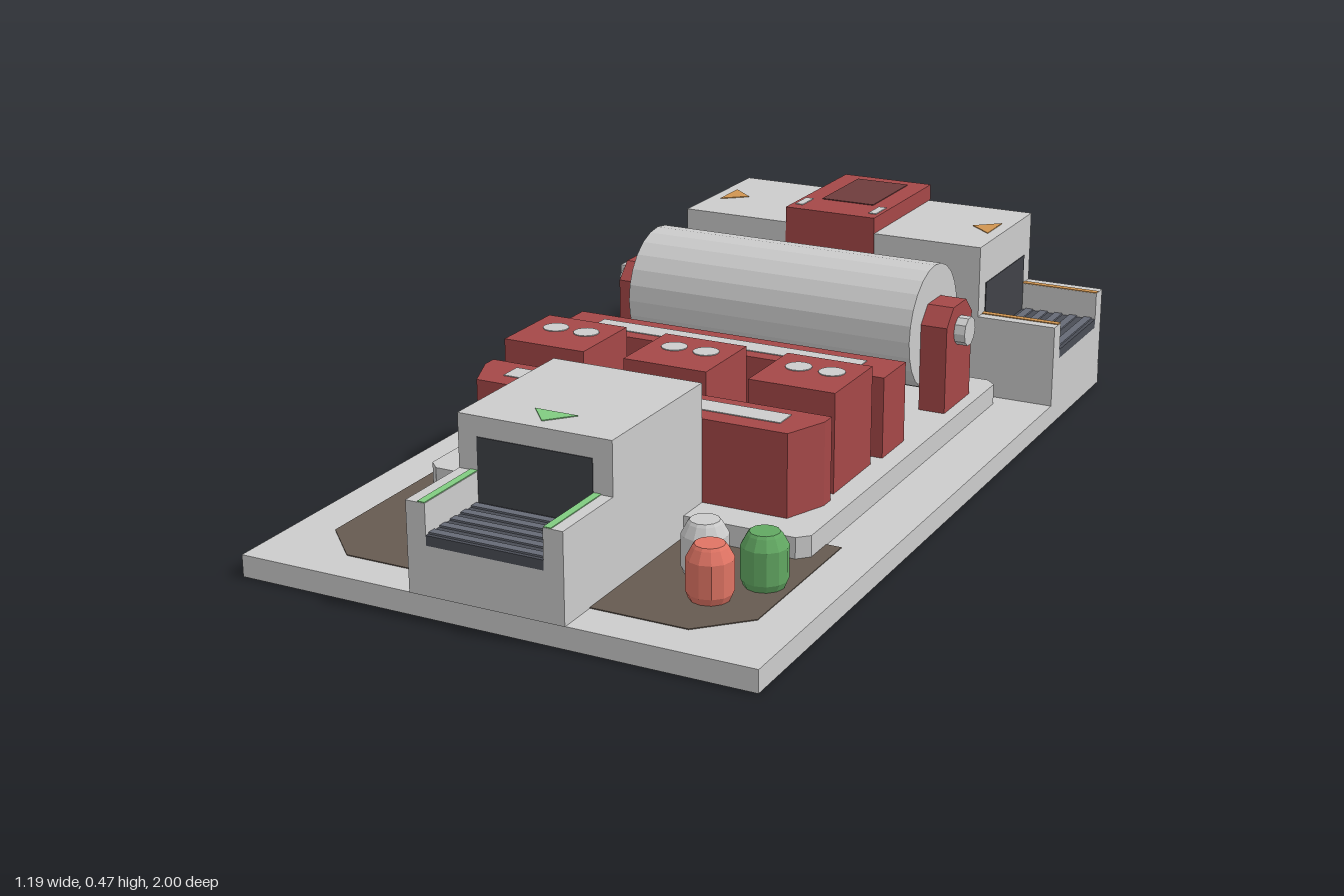
import * as THREE from 'three';

const mat = (color) => new THREE.MeshStandardMaterial({ color, flatShading: true, side: THREE.DoubleSide });
const GREY = mat(0xcccccc), RED = mat(0xa54848), DARKRED = mat(0x6e3c3c), BELT = mat(0x4a4d56), SLAT = mat(0x666a76),
  HOLE = mat(0x404248), SOIL = mat(0x665a50), GREEN = mat(0x80cc80), ORANGE = mat(0xd09550),
  CANRED = mat(0xe07464), CANGREEN = mat(0x62a862);

function add(parent, name, geo, material, x = 0, y = 0, z = 0) {
  const m = new THREE.Mesh(geo, material);
  m.name = name;
  m.position.set(x, y, z);
  parent.add(m);
  return m;
}

// Box given by its limits on each axis
function box(parent, name, material, [x0, x1], [y0, y1], [z0, z1]) {
  return add(parent, name, new THREE.BoxGeometry(x1 - x0, y1 - y0, z1 - z0), material,
    (x0 + x1) / 2, (y0 + y1) / 2, (z0 + z1) / 2);
}

// Plan outline of [x, z] points raised from y0 to y1
function slab(parent, name, material, pts, y0, y1) {
  const shape = new THREE.Shape(pts.map(([x, z]) => new THREE.Vector2(x, -z)));
  const geo = new THREE.ExtrudeGeometry(shape, { depth: y1 - y0, bevelEnabled: false });
  geo.rotateX(-Math.PI / 2);
  return add(parent, name, geo, material, 0, y0, 0);
}

// Conveyor mouth running out along +z from a wall at z = 0
function conveyor(name, accent) {
  const g = new THREE.Group();
  g.name = name;
  const L = 0.197;
  box(g, 'conveyorBed', GREY, [-0.135, 0.135], [0.05, 0.16], [0, L]);
  box(g, 'belt', BELT, [-0.135, 0.135], [0.16, 0.182], [0, L]);
  for (let i = 0; i < 5; i++) {
    const z = 0.012 + i * 0.039;
    box(g, 'beltSlat', SLAT, [-0.134, 0.134], [0.18, 0.186], [z, z + 0.02]);
  }
  box(g, 'opening', HOLE, [-0.135, 0.135], [0.18, 0.325], [-0.01, 0.002]);
  for (const s of [-1, 1]) {
    const wall = box(g, 'sideWall', GREY, [0.135, 0.18], [0.05, 0.25], [0, L]);
    const strip = box(g, 'accentStrip', accent, [0.136, 0.153], [0.245, 0.252], [0, L - 0.001]);
    wall.position.x *= s;
    strip.position.x *= s;
  }
  return g;
}

// Barrel with tapered rims
function can(parent, material, x, z) {
  const pts = [[0, 0], [0.042, 0], [0.05, 0.018], [0.05, 0.09], [0.037, 0.114], [0.032, 0.12], [0, 0.12]]
    .map(([r, y]) => new THREE.Vector2(r, y));
  add(parent, 'canister', new THREE.LatheGeometry(pts, 12), material, x, 0.05, z);
}

export function createModel() {
  const g = new THREE.Group();
  g.name = 'factoryMachine';

  // Ground slab, dark ground patch and raised machine bed
  box(g, 'base', GREY, [-0.597, 0.597], [0, 0.05], [-0.995, 0.995]);
  slab(g, 'groundPatch', SOIL,
    [[-0.5, 0.4], [0.5, 0.4], [0.5, 0.8], [0.4, 0.9], [-0.4, 0.9], [-0.5, 0.8]], 0.045, 0.052);
  const c = 0.025;
  slab(g, 'machineBed', GREY, [[-0.465 + c, -0.61], [0.465 - c, -0.61], [0.465, -0.61 + c], [0.465, 0.5 - c],
    [0.465 - c, 0.5], [-0.465 + c, 0.5], [-0.465, 0.5 - c], [-0.465, -0.61 + c]], 0.05, 0.1);

  // Roller drum with its brackets and axle ends
  const drum = new THREE.CylinderGeometry(0.15, 0.15, 0.74, 24);
  drum.rotateZ(Math.PI / 2);
  add(g, 'drum', drum, GREY, 0, 0.285, -0.415);
  const bracket = new THREE.Shape([[-0.08, 0.1], [0.08, 0.1], [0.08, 0.31], [0.04, 0.35], [-0.04, 0.35], [-0.08, 0.31]]
    .map(([z, y]) => new THREE.Vector2(z, y)));
  const bracketGeo = new THREE.ExtrudeGeometry(bracket, { depth: 0.065, bevelEnabled: false });
  bracketGeo.rotateY(Math.PI / 2);
  const axle = new THREE.CylinderGeometry(0.035, 0.035, 0.03, 10);
  axle.rotateZ(Math.PI / 2);
  for (const s of [-1, 1]) {
    add(g, 'drumBracket', bracketGeo, RED, s > 0 ? 0.37 : -0.435, 0, -0.415);
    add(g, 'axleEnd', axle, GREY, s * 0.447, 0.285, -0.415);
  }

  // Cross bars with pale top strips
  box(g, 'rearBar', RED, [-0.42, 0.42], [0.1, 0.29], [-0.125, 0]);
  box(g, 'rearBarStrip', GREY, [-0.34, 0.34], [0.28, 0.292], [-0.09, -0.035]);
  slab(g, 'frontBar', RED,
    [[-0.42, 0.28], [0.42, 0.28], [0.42, 0.315], [0.38, 0.415], [-0.38, 0.415], [-0.42, 0.315]], 0.1, 0.29);
  box(g, 'frontBarStrip', GREY, [-0.34, 0.34], [0.28, 0.292], [0.31, 0.367]);

  // Three middle blocks with paired studs
  for (const x of [-0.308, 0, 0.308]) {
    box(g, 'block', RED, [x - 0.103, x + 0.103], [0.1, 0.33], [0.045, 0.245]);
    for (const dx of [-0.04, 0.04])
      add(g, 'stud', new THREE.CylinderGeometry(0.03, 0.03, 0.008, 16), GREY, x + dx, 0.328, 0.122);
  }

  // Front output housing
  box(g, 'frontHousing', GREY, [-0.18, 0.18], [0.05, 0.37], [0.415, 0.8]);
  slab(g, 'frontArrow', GREEN, [[-0.05, 0.71], [0.05, 0.71], [0, 0.768]], 0.365, 0.372);
  const front = conveyor('frontConveyor', GREEN);
  front.position.z = 0.8;
  g.add(front);

  // Rear input housing with red centre band
  box(g, 'rearHousing', GREY, [-0.4, 0.4], [0.05, 0.425], [-0.992, -0.633]);
  box(g, 'centreBand', RED, [-0.12, 0.12], [0.05, 0.465], [-1, -0.63]);
  box(g, 'bandPanel', DARKRED, [-0.07, 0.07], [0.455, 0.467], [-0.965, -0.74]);
  for (const s of [-1, 1]) {
    box(g, 'bandLight', GREY, [s * 0.1 - 0.01, s * 0.1 + 0.01], [0.455, 0.467], [-0.73, -0.665]);
    slab(g, 'sideArrow', ORANGE, [[s * 0.37, -0.86], [s * 0.37, -0.76], [s * 0.312, -0.81]], 0.42, 0.427);
    const side = conveyor('sideConveyor', ORANGE);
    side.position.set(s * 0.4, 0, -0.8125);
    side.rotation.y = s * Math.PI / 2;
    g.add(side);
  }

  // Canisters beside the output
  can(g, GREY, 0.305, 0.645);
  can(g, CANGREEN, 0.44, 0.645);
  can(g, CANRED, 0.37, 0.75);
  return g;
}
